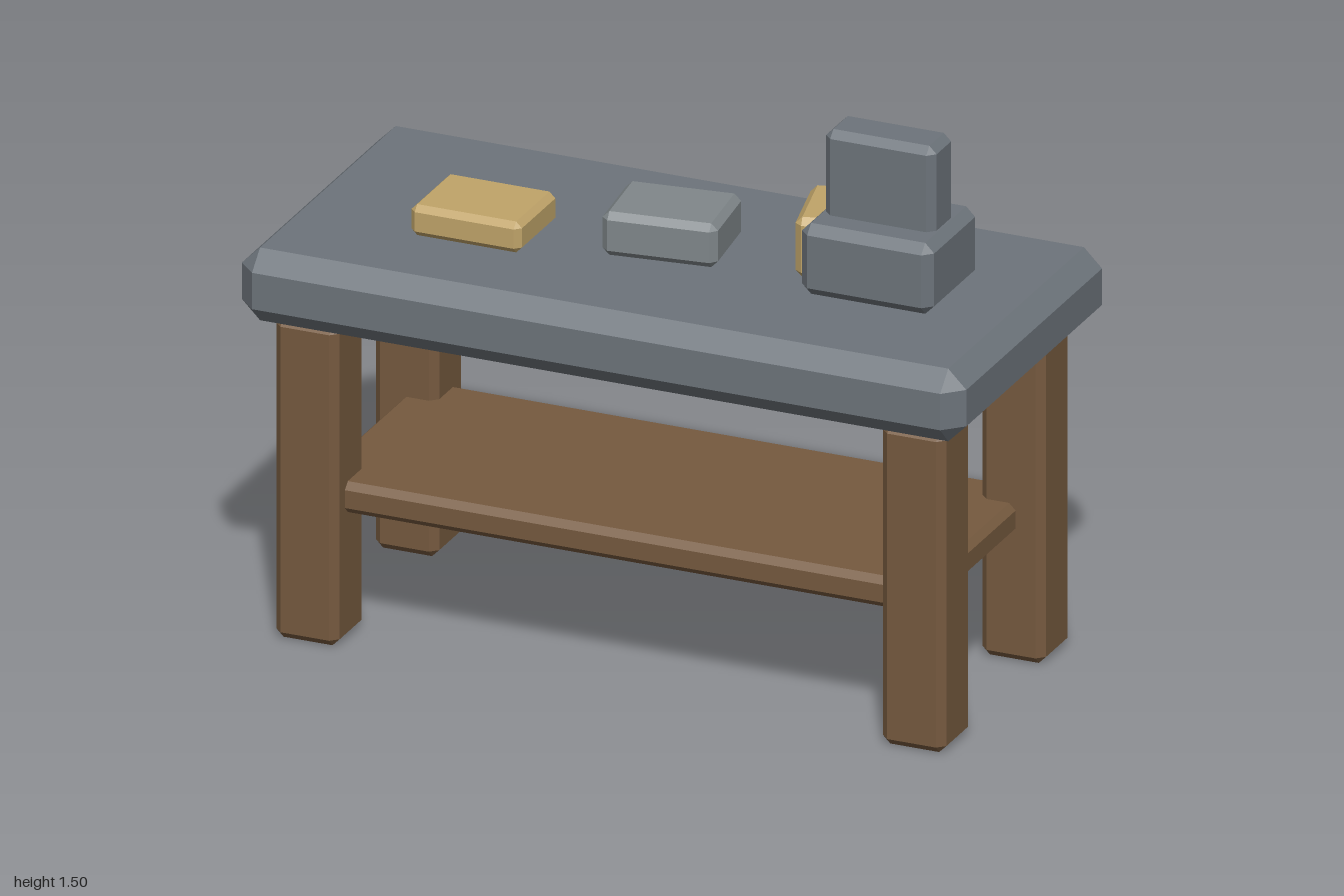
import * as THREE from 'three';
import { ConvexGeometry } from 'three/addons/geometries/ConvexGeometry.js';

const material = (color) => new THREE.MeshStandardMaterial({ color });

// Box with every edge cut by a flat chamfer c, centred on the origin
function chamferBox(w, h, d, c) {
  const points = [];
  const half = [w / 2, h / 2, d / 2];
  for (const sx of [-1, 1]) for (const sy of [-1, 1]) for (const sz of [-1, 1]) {
    for (let face = 0; face < 3; face++) {
      const p = half.map((v, axis) => (axis === face ? v : v - c));
      points.push(new THREE.Vector3(p[0] * sx, p[1] * sy, p[2] * sz));
    }
  }
  return new ConvexGeometry(points);
}

export function createModel() {
  const model = new THREE.Group();
  model.name = 'workbench';

  const slate = material(0x6d747b);
  const stone = material(0x80878a);
  const wood = material(0x765a3f);
  const brass = material(0xc0a469);

  // size is [width, height, depth]; y is the bottom of the part
  function block(name, mat, [w, h, d], chamfer, x, y, z, turn = 0) {
    const mesh = new THREE.Mesh(chamferBox(w, h, d, chamfer), mat);
    mesh.name = name;
    mesh.position.set(x, y + h / 2, z);
    mesh.rotation.y = turn;
    model.add(mesh);
  }

  // Table: thick slab, four legs and a low shelf running into the legs
  block('tabletop', slate, [2, 0.2, 0.945], 0.05, 0, 0.88, 0);
  for (const sx of [-1, 1]) for (const sz of [-1, 1]) {
    const name = (sz > 0 ? 'front' : 'back') + (sx > 0 ? 'Left' : 'Right') + 'Leg';
    block(name, wood, [0.175, 0.88, 0.175], 0.02, sx * 0.8375, 0, sz * 0.31);
  }
  block('shelf', wood, [1.7, 0.085, 0.69], 0.018, 0, 0.35, 0);

  // Loose blocks lying on the slab
  const top = 1.08;
  block('flatBlock', brass, [0.305, 0.085, 0.24], 0.016, -0.483, top, 0.085);
  block('stoneBlock', stone, [0.305, 0.12, 0.235], 0.018, -0.004, top, -0.008, 0.12);
  block('tallBlock', brass, [0.3, 0.165, 0.24], 0.018, 0.482, top, -0.092, 0.23);

  // Two-step stand
  block('standBase', slate, [0.365, 0.195, 0.305], 0.025, 0.598, top, 0);
  block('standUpright', slate, [0.305, 0.25, 0.13], 0.02, 0.598, 1.255, 0);

  return model;
}
